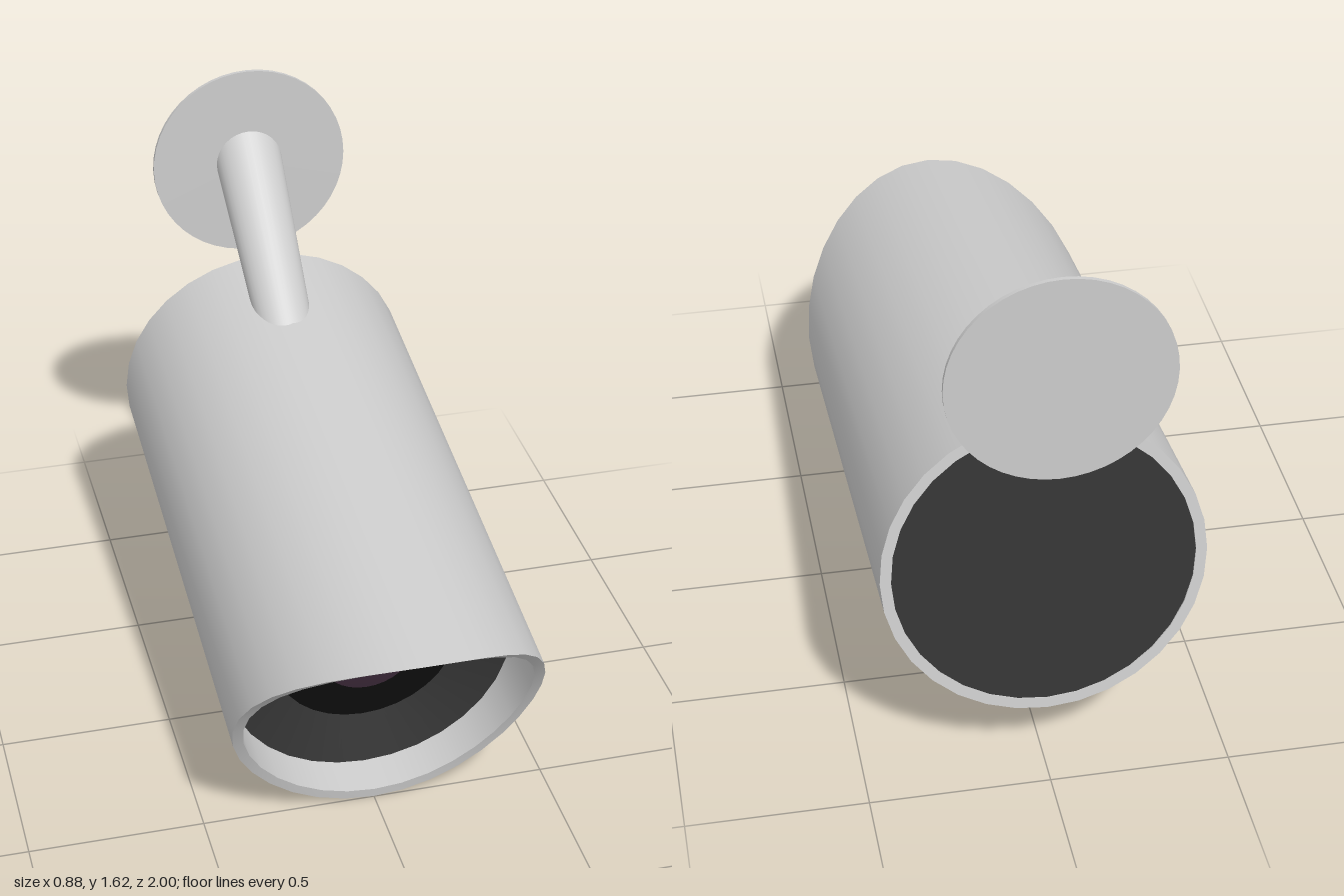
import * as THREE from 'three';
import { toCreasedNormals } from 'three/addons/utils/BufferGeometryUtils.js';

const SEGMENTS = 32;
const OUTER = 0.44, INNER = 0.41;

const material = (color) => new THREE.MeshStandardMaterial({ color });

function addMesh(parent, name, geometry, mat) {
  const mesh = new THREE.Mesh(geometry, mat);
  mesh.name = name;
  parent.add(mesh);
  return mesh;
}

// Turned profile of [radius, distance] pairs, with its axis along +z
function turned(profile) {
  const points = profile.map(([r, s]) => new THREE.Vector2(r, s));
  return new THREE.LatheGeometry(points, SEGMENTS).rotateX(Math.PI / 2);
}

// Front edge of the hood: a circular arc reaching furthest at the top
function hoodCut(height) {
  const R = 1.22, h = height + OUTER;
  return 1.46 + R - Math.sqrt(R * R - h * h);
}

export function createModel() {
  const model = new THREE.Group();
  const grey = material(0xcccccc);

  // Housing and optics, tilted downwards to the front
  const body = new THREE.Group();
  body.name = 'cameraBody';
  body.position.set(0, 0.655, -0.88);
  body.rotation.x = 0.148;
  model.add(body);

  // Hollow housing with the curved cut at its front
  const shell = turned([[INNER, 0], [OUTER, 0], [OUTER, 1], [INNER, 1], [INNER, 0]]);
  const p = shell.attributes.position;
  for (let i = 0; i < p.count; i++) {
    if (p.getZ(i) > 0.5) p.setZ(i, hoodCut(p.getY(i)));
  }
  addMesh(body, 'housing', toCreasedNormals(shell, 0.5), grey);

  // Dark core: flat back panel and shallow conical recess at the front
  const core = turned([[0, 0.004], [INNER, 0.004], [INNER, 1.345], [0.265, 1.29], [0, 1.29]]);
  addMesh(body, 'core', toCreasedNormals(core, 0.3), material(0x333333));

  // Black lens surround and tinted lens
  const surround = new THREE.CircleGeometry(0.265, SEGMENTS);
  addMesh(body, 'lensSurround', surround, material(0x0d0d0d)).position.z = 1.296;
  const lens = turned([[0.135, 1.296], [0.135, 1.32], [0.08, 1.328], [0, 1.33]]);
  addMesh(body, 'lens', toCreasedNormals(lens, 0.5), material(0x3d2a3a));

  // Wall mount, slightly off the centre line
  const mount = new THREE.Group();
  mount.name = 'wallMount';
  mount.position.set(-0.01, 1.327, -1);
  model.add(mount);

  const plate = new THREE.CylinderGeometry(0.298, 0.298, 0.012, 48).rotateX(Math.PI / 2);
  addMesh(mount, 'wallPlate', plate, grey).position.z = 0.006;

  // Tapered arm, sheared downwards so its wall end lies flat on the plate
  const length = 0.6;
  const arm = new THREE.CylinderGeometry(0.078, 0.102, length, SEGMENTS)
    .rotateX(Math.PI / 2).translate(0, 0, length / 2);
  const shear = new THREE.Matrix4().set(1, 0, 0, 0, 0, 1, -0.705, 0, 0, 0, 1, 0, 0, 0, 0, 1);
  arm.applyMatrix4(shear);
  addMesh(mount, 'arm', toCreasedNormals(arm, 0.6), grey).position.z = 0.01;

  return model;
}
